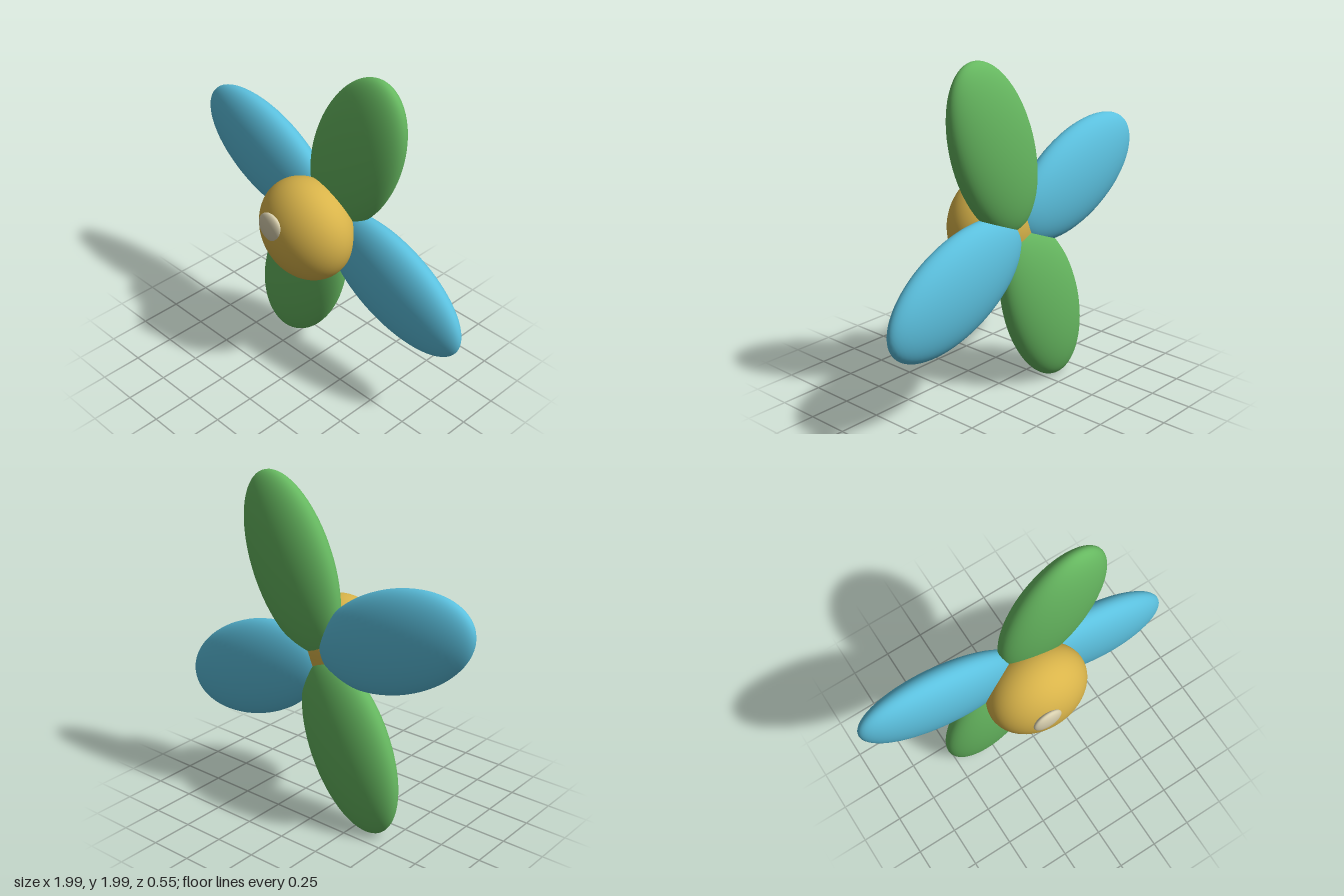
import * as THREE from 'three';

const material = (name, color) => {
  const m = new THREE.MeshStandardMaterial({ color });
  m.name = name;
  return m;
};

// A sphere stretched to three radii, poles along its long y axis
function ellipsoid(name, mat, rx, ry, rz) {
  const geometry = new THREE.SphereGeometry(1, 56, 36).scale(rx, ry, rz);
  const mesh = new THREE.Mesh(geometry, mat);
  mesh.name = name;
  return mesh;
}

export function createModel() {
  const green = material('leaf green', 0x66b860);
  const blue = material('sky blue', 0x5bc0de);
  const gold = material('gold', 0xd9b44a);
  const cream = material('cream', 0xd8cfae);

  const model = new THREE.Group();
  model.name = 'pinwheel';
  const centreY = 1.003;

  // Four flat blades around the hub, alternating green and blue
  const blades = new THREE.Group();
  blades.name = 'blades';
  blades.position.set(0, centreY, -0.145);
  const names = ['topBlade', 'leftBlade', 'bottomBlade', 'rightBlade'];
  names.forEach((name, i) => {
    const angle = THREE.MathUtils.degToRad(22.5 + 90 * i);
    const blade = ellipsoid(name, i % 2 ? blue : green, 0.285, 0.53, 0.13);
    blade.position.set(Math.sin(angle) * 0.536, Math.cos(angle) * 0.536, 0);
    blade.rotation.z = -angle;
    blades.add(blade);
  });
  model.add(blades);

  // Domed hub in front of the blades
  const hub = ellipsoid('hub', gold, 0.306, 0.306, 0.23);
  hub.position.set(0, centreY, 0.035);
  model.add(hub);

  // Small button set into the hub's front
  const button = ellipsoid('hubButton', cream, 0.09, 0.09, 0.03);
  button.position.set(-0.065, 1.077, 0.246);
  model.add(button);

  return model;
}
